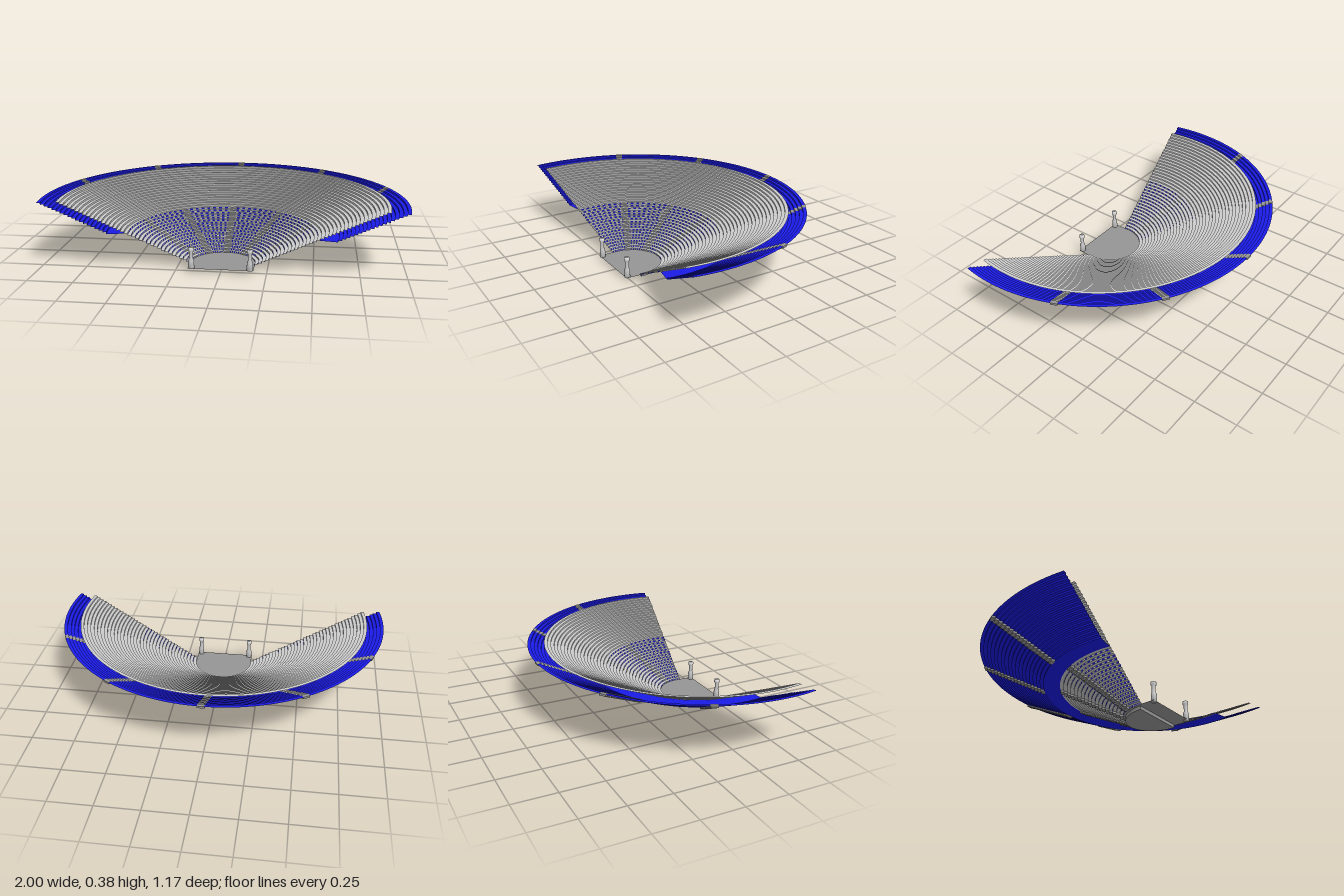
import * as THREE from 'three';
import { mergeGeometries } from 'three/addons/utils/BufferGeometryUtils.js';

const CENTRE_Z = 0.41, HALF_ARC = THREE.MathUtils.degToRad(100);
const SEGMENTS = 100, ROWS = 18, RISE = 0.01, STAGE_Y = 0.02, MID_Y = 0.2;

const material = (color) => new THREE.MeshStandardMaterial({ color, side: THREE.DoubleSide });
const concrete = material(0xcccccc), seatBlue = material(0x1a1ae6), darkGrey = material(0x959595);

// One curved band between two (radius, height) edges, from arc step j0 to j1.
function band(r0, y0, r1, y1, j0 = 0, j1 = SEGMENTS) {
  const positions = [], normals = [], index = [];
  const slope = new THREE.Vector2(r0 - r1, y1 - y0).normalize();
  for (let j = j0; j <= j1; j++) {
    const a = (2 * j / SEGMENTS - 1) * HALF_ARC, s = Math.sin(a), c = Math.cos(a);
    for (const [r, y] of [[r0, y0], [r1, y1]]) {
      positions.push(r * s, y, CENTRE_Z - r * c);
      normals.push(-slope.y * s, -slope.x, slope.y * c);
    }
    if (j < j1) {
      const k = 2 * (j - j0);
      index.push(k, k + 2, k + 1, k + 1, k + 2, k + 3);
    }
  }
  const geometry = new THREE.BufferGeometry();
  geometry.setAttribute('position', new THREE.Float32BufferAttribute(positions, 3));
  geometry.setAttribute('normal', new THREE.Float32BufferAttribute(normals, 3));
  // Wind the faces to agree with the normals.
  geometry.setIndex(r0 === r1 ? index : index.map((_, i) => index[i - (i % 3) + 2 - (i % 3)]));
  return geometry;
}

// Radial stair blocks at the five aisles, one per row.
function aisles(r0, y0, run, lift) {
  const blocks = [];
  for (let k = -2; k <= 2; k++) {
    for (let i = 0; i < ROWS; i++) {
      const block = new THREE.BoxGeometry(0.04, RISE + 0.002, run + 0.002);
      block.translate(0, y0 + (i + 0.5) * RISE + lift, -(r0 + (i + 0.5) * run - 0.001));
      block.rotateY(-k * HALF_ARC / 3);
      block.translate(0, 0, CENTRE_Z);
      blocks.push(block);
    }
  }
  return mergeGeometries(blocks);
}

export function createModel() {
  const model = new THREE.Group();
  const add = (name, geometry, mat) => {
    const mesh = new THREE.Mesh(geometry, mat);
    mesh.name = name;
    model.add(mesh);
    return mesh;
  };

  // Continuous concrete terraces; the lower risers alternate with blue seats.
  const terrace = [], lowerSeats = [], startR = 0.18, run = 0.02;
  for (let i = 0; i < ROWS * 2; i++) {
    const r = startR + i * run, y = STAGE_Y + i * RISE;
    terrace.push(band(r, y + RISE, r + run, y + RISE));
    if (i >= ROWS) terrace.push(band(r, y, r, y + RISE));
    else for (let j = 0; j < SEGMENTS; j++) {
      const list = (j + (i >> 2)) % 2 ? lowerSeats : terrace;
      list.push(band(r, y, r, y + RISE, j, j + 1));
    }
  }
  add('terraces', mergeGeometries(terrace), concrete);
  add('lowerSeats', mergeGeometries(lowerSeats), seatBlue);
  add('lowerAisles', aisles(startR, STAGE_Y, run, -0.002), darkGrey);

  // Blue upper tier set back behind a flat walkway.
  const upperR = 0.635, upperRun = (1 - upperR) / ROWS;
  const upper = [band(startR + ROWS * run, MID_Y, upperR, MID_Y)];
  for (let i = 0; i < ROWS; i++) {
    const r = upperR + i * upperRun, y = MID_Y + i * RISE;
    upper.push(band(r, y, r, y + RISE), band(r, y + RISE, r + upperRun, y + RISE));
  }
  add('upperSeats', mergeGeometries(upper), seatBlue);
  add('upperAisles', aisles(upperR, MID_Y, upperRun, 0), darkGrey);

  // Thin stage floor: rectangle with a half-round back.
  const floor = new THREE.Shape();
  floor.moveTo(-0.18, -0.525);
  floor.lineTo(0.18, -0.525);
  floor.lineTo(0.18, -CENTRE_Z);
  floor.absarc(0, -CENTRE_Z, 0.18, 0, Math.PI);
  floor.closePath();
  add('stageFloor', new THREE.ShapeGeometry(floor, 32).rotateX(-Math.PI / 2), darkGrey)
    .position.y = STAGE_Y + 0.001;

  // Half-round plinth under the stage.
  const plinth = new THREE.Shape();
  plinth.absellipse(0, -0.425, 0.163, 0.19, 0, Math.PI);
  plinth.closePath();
  add('stagePlinth', new THREE.ExtrudeGeometry(plinth, { depth: STAGE_Y, bevelEnabled: false, curveSegments: 32 })
    .rotateX(-Math.PI / 2), darkGrey);

  // Columns at the front corners of the stage.
  const profile = [[0, 0], [0.017, 0], [0.016, 0.045], [0.011, 0.055], [0.011, 0.095],
    [0.016, 0.1], [0.016, 0.118], [0, 0.118]].map(([r, y]) => new THREE.Vector2(r, y));
  for (const side of [-1, 1]) {
    add(side > 0 ? 'leftColumn' : 'rightColumn', new THREE.LatheGeometry(profile, 20), concrete)
      .position.set(side * 0.16, STAGE_Y, 0.512);
  }
  return model;
}
